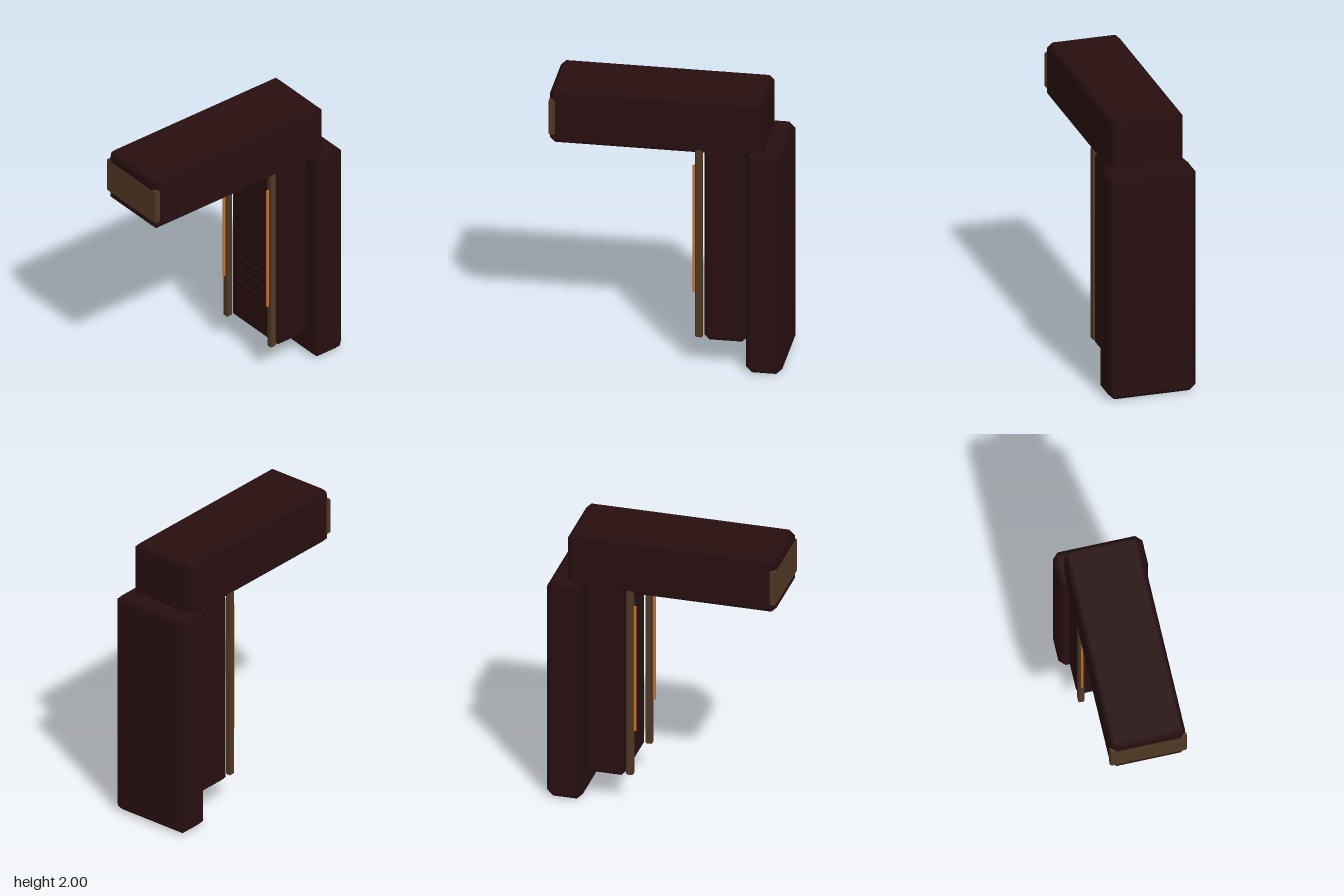
import * as THREE from 'three';
import { ConvexGeometry } from 'three/addons/geometries/ConvexGeometry.js';

// Chamfered box from min/max corners; main faces shade flat, bevels blend between them
function bevelBox([x0, y0, z0], [x1, y1, z1], c) {
  const h = [(x1 - x0) / 2, (y1 - y0) / 2, (z1 - z0) / 2];
  const points = [];
  for (let axis = 0; axis < 3; axis++)
    for (const sx of [-1, 1]) for (const sy of [-1, 1]) for (const sz of [-1, 1]) {
      const p = [sx, sy, sz].map((s, i) => s * (h[i] - (i === axis ? 0 : c)));
      points.push(new THREE.Vector3(...p));
    }
  const geo = new ConvexGeometry(points);
  const pos = geo.attributes.position, nor = geo.attributes.normal;
  for (let i = 0; i < pos.count; i++) {
    const p = [pos.getX(i), pos.getY(i), pos.getZ(i)];
    const n = p.map((v, k) => (h[k] - Math.abs(v) < c / 2 ? Math.sign(v) : 0));
    nor.setXYZ(i, ...n);
  }
  geo.translate((x0 + x1) / 2, (y0 + y1) / 2, (z0 + z1) / 2);
  return geo;
}

export function createModel() {
  const model = new THREE.Group();
  const body = new THREE.MeshStandardMaterial({ color: 0x280f10 });
  body.name = 'dark maroon';
  const trim = new THREE.MeshStandardMaterial({ color: 0x503824 });
  trim.name = 'bronze brown';
  const glow = new THREE.MeshStandardMaterial({ color: 0xc4742c });
  glow.name = 'orange';

  const add = (name, min, max, c, material) => {
    const mesh = new THREE.Mesh(bevelBox(min, max, c), material);
    mesh.name = name;
    model.add(mesh);
  };

  // Main blocks
  add('backBlock', [-0.31, 0, -0.8], [0.31, 1.64, -0.55], 0.042, body);
  add('column', [-0.255, 0.2, -0.55], [0.255, 1.63, -0.258], 0.035, body);
  add('topArm', [-0.26, 1.6, -0.665], [0.26, 2, 0.8], 0.036, body);
  add('armEndCap', [-0.268, 1.665, 0.757], [0.268, 1.927, 0.805], 0.012, trim);

  // Rails with thin orange strips on both sides of the column
  for (const [side, s] of [['right', -1], ['left', 1]]) {
    const x = 0.237 * s;
    add(side + 'Rail', [x - 0.022, 0.225, -0.25], [x + 0.022, 1.63, -0.2], 0.008, trim);
    add(side + 'Strip', [x - 0.006, 0.56, -0.2], [x + 0.006, 1.51, -0.181], 0.002, glow);
  }

  // Ribs on the column face
  for (const y of [0.525, 0.625, 0.725])
    add('rib', [-0.17, y - 0.015, -0.268], [0.17, y + 0.015, -0.248], 0.006, body);

  // Plates under the arm
  for (const z of [-0.04, 0.26, 0.56])
    add('undersidePlate', [-0.16, 1.595, z - 0.04], [0.16, 1.603, z + 0.04], 0.002, trim);

  return model;
}
